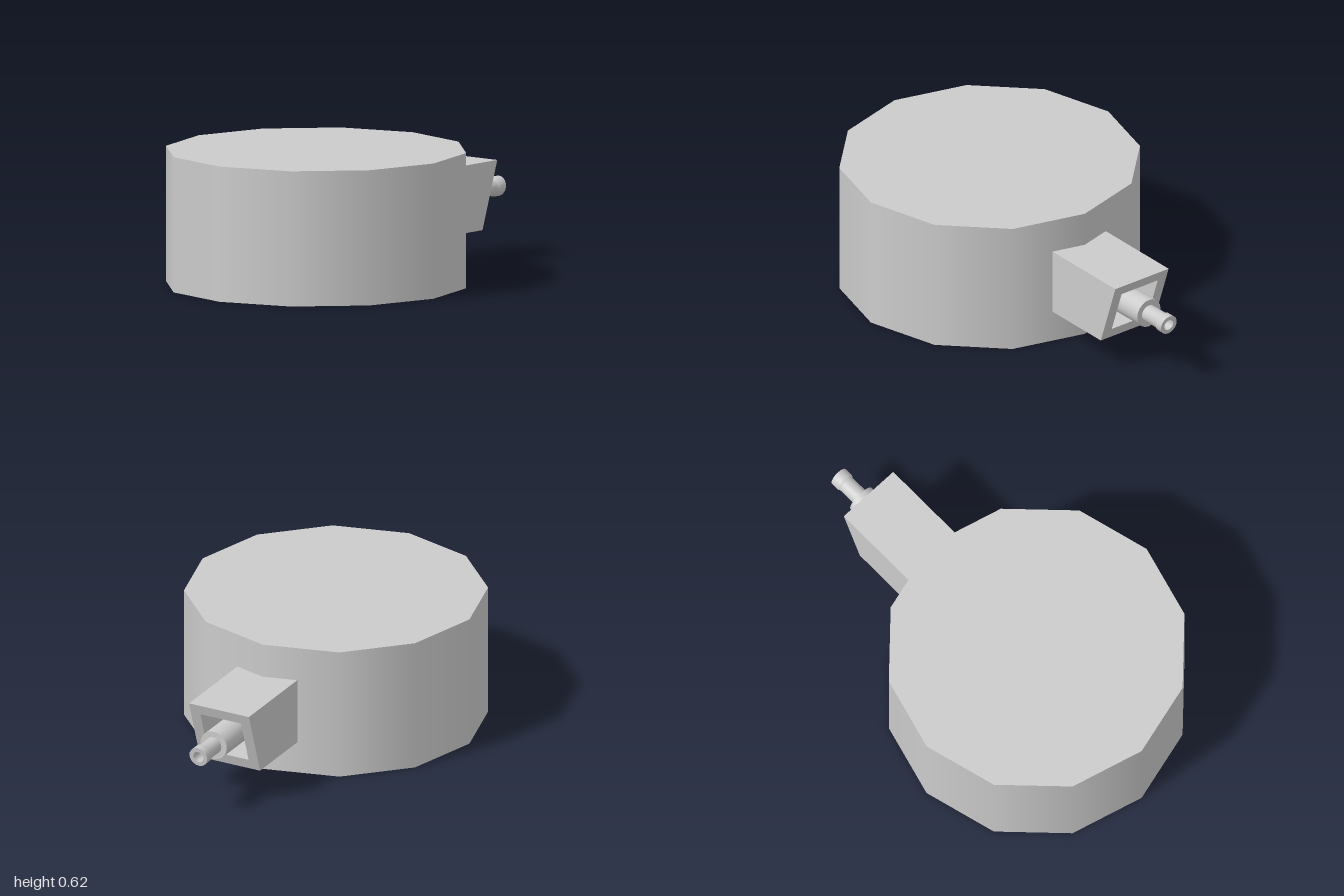
import * as THREE from 'three';
import { toCreasedNormals } from 'three/addons/utils/BufferGeometryUtils.js';

const HEIGHT = 0.62, RADIUS = 0.69, SIDES = 12, BODY_Z = 0.305;
const AXIS_Y = 0.305;

// Moves every vertex along z by the amount the rule returns.
function shiftZ(geometry, rule) {
  const p = geometry.attributes.position;
  for (let i = 0; i < p.count; i++) p.setZ(i, p.getZ(i) + rule(p.getY(i), p.getZ(i)));
  return geometry;
}

function square(PathType, half) {
  return new PathType([[-half, -half], [half, -half], [half, half], [-half, half]]
    .map(([x, y]) => new THREE.Vector2(x, y)));
}

export function createModel() {
  const model = new THREE.Group();
  const solid = new THREE.MeshStandardMaterial({ color: 0xcccccc });
  const thin = new THREE.MeshStandardMaterial({ color: 0xcccccc, side: THREE.DoubleSide });
  const add = (name, geometry, material, x, y, z) => {
    const mesh = new THREE.Mesh(geometry, material);
    mesh.name = name;
    mesh.position.set(x, y, z);
    model.add(mesh);
    return mesh;
  };

  // Thin twelve-sided drum, closed on top and open below
  add('drumWall', new THREE.CylinderGeometry(RADIUS, RADIUS, HEIGHT, SIDES, 1, true),
    thin, 0, HEIGHT / 2, BODY_Z);
  const lid = new THREE.CircleGeometry(RADIUS, SIDES).rotateX(-Math.PI / 2);
  add('drumLid', lid, thin, 0, HEIGHT, BODY_Z);

  // Square hollow housing through the rear wall, its outer end cut at a slant
  const half = 0.155, back = -0.8, front = -0.02;
  const section = square(THREE.Shape, half);
  section.holes.push(square(THREE.Path, 0.105));
  let housing = new THREE.ExtrudeGeometry(section, { depth: front - back, bevelEnabled: false });
  housing = shiftZ(housing, (y, z) => (z < 0.01 ? (half - y) * 0.34 : 0));
  housing.computeVertexNormals();
  add('housing', housing, solid, 0, AXIS_Y, back);

  // Stepped nozzle: thick barrel, narrow neck, bored lip with a slightly slanted end
  const profile = [
    [0, 0.36], [0.068, 0.36], [0.068, 0.85], [0.04, 0.85], [0.04, 0.945],
    [0.046, 0.955], [0.046, 1], [0.026, 1], [0.026, 0.9], [0, 0.9],
  ].map(([r, d]) => new THREE.Vector2(r, d));
  let nozzle = new THREE.LatheGeometry(profile, 20).rotateX(-Math.PI / 2);
  nozzle = shiftZ(nozzle, (y, z) => (z < -0.98 ? (0.046 - y) * 0.12 : 0));
  add('nozzle', toCreasedNormals(nozzle, 0.6), solid, 0, AXIS_Y, 0);

  return model;
}
